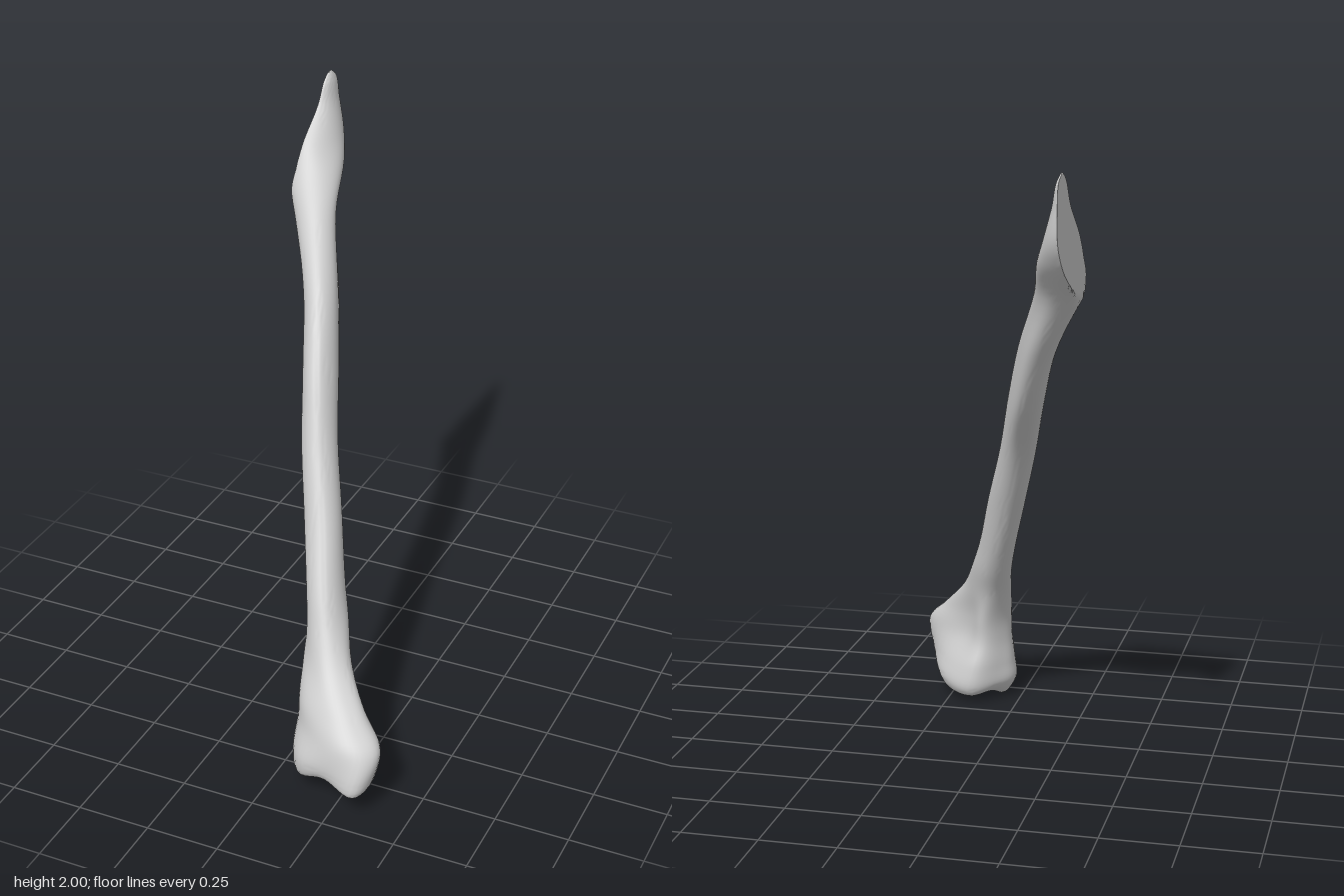
import * as THREE from 'three';
import { toCreasedNormals } from 'three/addons/utils/BufferGeometryUtils.js';

const V = (x, y, z) => new THREE.Vector3(x, y, z);
const SIDES = 8;

// Shaft cross-sections: y, x min, x max, z min, z max, skew, hollow of the inner flank
const shaft = [
  [0.5, 0.015, 0.165, 0.25, 0.445, 0.25, 0.05],
  [0.6, -0.01, 0.125, 0.2, 0.39, 0.25, 0],
  [0.8, -0.07, 0.065, 0.1, 0.27, 0.25, 0],
  [1.0, -0.13, 0.0, -0.02, 0.16, 0.25, 0.05],
  [1.2, -0.19, -0.055, -0.2, 0.05, 0.35, 0.15],
  [1.4, -0.26, -0.12, -0.345, -0.1, 0.42, 0.15],
  [1.6, -0.375, -0.21, -0.49, -0.29, 0.33, 0.05],
  [1.72, -0.46, -0.25, -0.64, -0.4, 0.15, 0],
  [1.8, -0.455, -0.285, -0.69, -0.46, 0, 0],
  [1.9, -0.41, -0.32, -0.695, -0.56, 0, 0],
  [1.97, -0.38, -0.335, -0.685, -0.6, 0, 0],
  [2.0, -0.352, -0.348, -0.645, -0.635, 0, 0],
];

// Flared end cross-sections: y, then eight x, z pairs
const flare = [
  [0.13, 0.365, 0.57, 0.345, 0.685, 0.22, 0.665, 0.095, 0.62, 0.03, 0.46, 0.06, 0.37, 0.15, 0.305, 0.26, 0.39],
  [0.22, 0.37, 0.56, 0.35, 0.64, 0.24, 0.655, 0.1, 0.58, 0.04, 0.46, 0.06, 0.38, 0.13, 0.33, 0.21, 0.41],
  [0.3, 0.3, 0.52, 0.28, 0.58, 0.2, 0.595, 0.09, 0.55, 0.04, 0.45, 0.06, 0.37, 0.12, 0.325, 0.18, 0.39],
  [0.4, 0.215, 0.44, 0.2, 0.49, 0.14, 0.51, 0.07, 0.47, 0.03, 0.4, 0.05, 0.33, 0.1, 0.3, 0.16, 0.345],
];

// Lower lip, outer and inner edge
const lipOuter = [
  V(0.35, 0.085, 0.57), V(0.33, 0.085, 0.69), V(0.21, 0.095, 0.65), V(0.1, 0.06, 0.61),
  V(0.025, 0.06, 0.46), V(0.07, 0.06, 0.36), V(0.17, 0.05, 0.3), V(0.285, 0.07, 0.39),
];
const lipInner = [
  V(0.315, 0.055, 0.55), V(0.31, 0.07, 0.665), V(0.21, 0.075, 0.62), V(0.11, 0.05, 0.57),
  V(0.07, 0, 0.46), V(0.1, 0.03, 0.37), V(0.17, 0.02, 0.325), V(0.27, 0.03, 0.4),
];

function shaftRing([y, x0, x1, z0, z1, skew, hollow]) {
  const cx = (x0 + x1) / 2, cz = (z0 + z1) / 2;
  return Array.from({ length: SIDES }, (_, i) => {
    const t = (i / SIDES) * Math.PI * 2;
    const k = i === 7 ? 1 - hollow : 1;
    return V(
      cx + k * Math.cos(t) * (x1 - x0) / 2, y,
      cz + k * Math.sin(t + skew) * (z1 - z0) / 2
    );
  });
}

// Smooth skin through all rings, ordered from the joint hollow to the tip
function skin(rings, along, around) {
  const rails = Array.from({ length: SIDES }, (_, i) =>
    new THREE.CatmullRomCurve3(rings.map((r) => r[i]), false, 'centripetal'));
  const pos = [], index = [];
  for (let r = 0; r <= along; r++) {
    const loop = new THREE.CatmullRomCurve3(
      rails.map((c) => c.getPoint(r / along)), true, 'catmullrom', 0.55);
    for (let j = 0; j < around; j++) {
      const p = loop.getPoint(j / around);
      // flat broken face near the tip
      p.x = Math.max(p.x, -0.375 - 0.09 * (p.z + 0.4));
      p.y = Math.min(2, Math.max(0, p.y));
      pos.push(p.x, p.y, p.z);
      if (r < along) {
        const a = r * around + j, b = r * around + (j + 1) % around;
        index.push(a, a + around, b, b, a + around, b + around);
      }
    }
  }
  const g = new THREE.BufferGeometry();
  g.setAttribute('position', new THREE.Float32BufferAttribute(pos, 3));
  g.setIndex(index);
  return toCreasedNormals(g, 0.8);
}

export function createModel() {
  const group = new THREE.Group();
  group.name = 'longBone';
  const bone = new THREE.MeshStandardMaterial({ name: 'pale grey bone', color: 0xcccccc });

  // Concave joint surface under the flared end
  const hollow = V(0.2, 0.115, 0.49);
  const socket = [0.995, 0.6, 0.25].map((k) => lipInner.map((p) => p.clone().lerp(hollow, k)));

  const flareRings = flare.map(([y, ...xz]) =>
    Array.from({ length: SIDES }, (_, i) => V(xz[2 * i], y, xz[2 * i + 1])));

  const rings = [...socket, lipInner, lipOuter, ...flareRings, ...shaft.map(shaftRing)];
  const mesh = new THREE.Mesh(skin(rings, (rings.length - 1) * 6, 48), bone);
  mesh.name = 'boneShaftAndJoint';
  group.add(mesh);
  return group;
}
